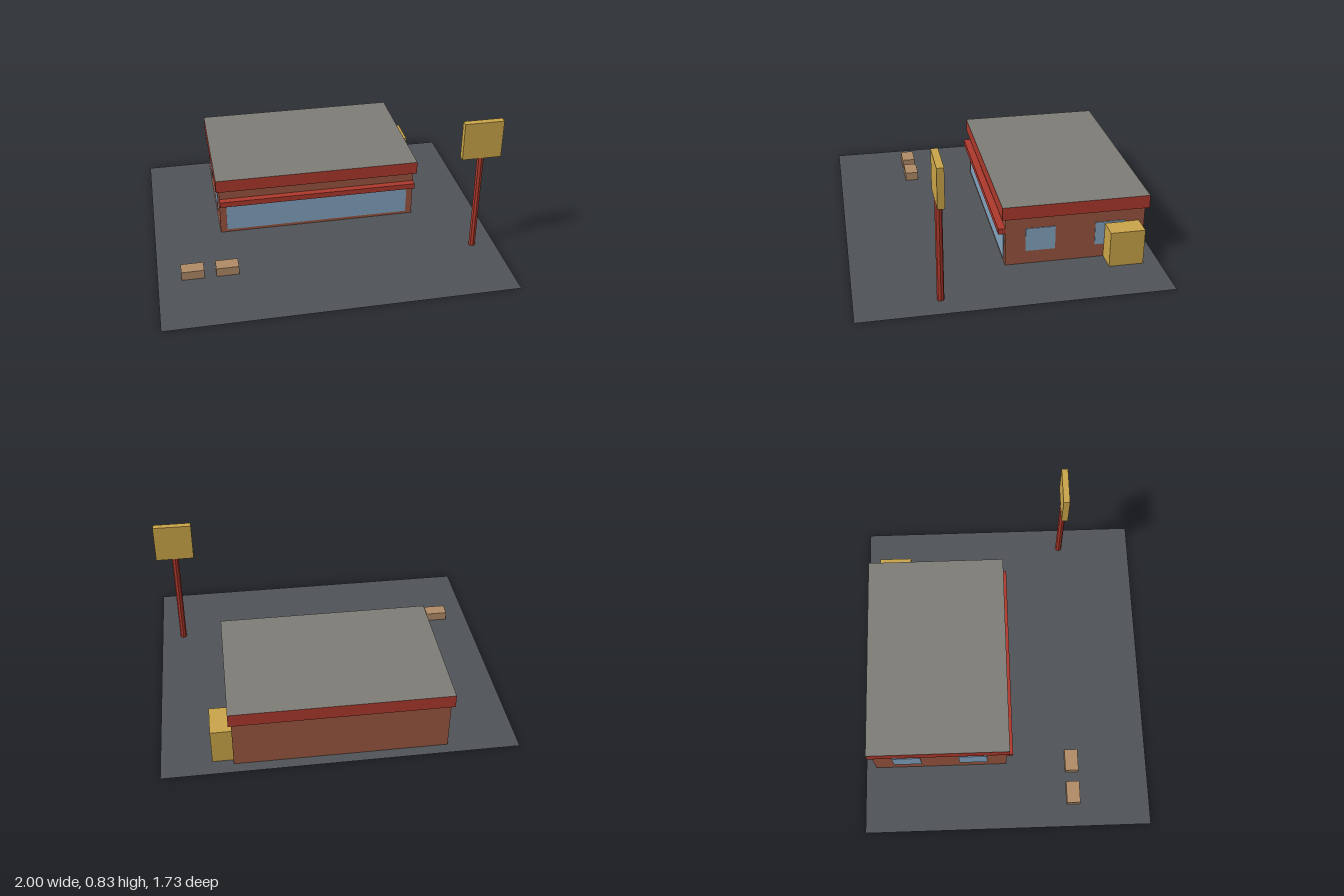
import * as THREE from 'three';

const mat = (name, color) => Object.assign(new THREE.MeshStandardMaterial({ color }), { name });

export function createModel() {
  const model = new THREE.Group();
  model.name = 'roadsideDiner';

  const asphalt = mat('asphalt', 0x4f5357);
  asphalt.side = THREE.DoubleSide;
  const brick = mat('brick', 0x98553f);
  const red = mat('redTrim', 0xab382b);
  const roofGrey = mat('roofGrey', 0x7d7b76);
  const glass = mat('glass', 0x82a3bf);
  const yellow = mat('yellow', 0xc8a348);
  const tan = mat('tan', 0xae8a66);

  // Box given by its extents on each axis
  const box = (name, [x0, x1], [y0, y1], [z0, z1], material) => {
    const mesh = new THREE.Mesh(new THREE.BoxGeometry(x1 - x0, y1 - y0, z1 - z0), material);
    mesh.position.set((x0 + x1) / 2, (y0 + y1) / 2, (z0 + z1) / 2);
    mesh.name = name;
    model.add(mesh);
    return mesh;
  };

  // Parking lot
  const lot = new THREE.Mesh(new THREE.PlaneGeometry(2, 1.725), asphalt);
  lot.rotation.x = -Math.PI / 2;
  lot.name = 'parkingLot';
  model.add(lot);

  // Building: walls, fascia with grey roof deck, awning over the front window
  const base = 0.001;
  box('walls', [-0.6, 0.6], [base, 0.3], [-0.8, 0], brick);
  box('roof', [-0.617, 0.617], [0.297, 0.375], [-0.82, 0.02], [red, red, roofGrey, red, red, red]);
  box('awning', [-0.6, 0.6], [0.203, 0.237], [0, 0.04], red);

  // Windows
  box('frontWindow', [-0.56, 0.56], [0.02, 0.197], [-0.002, 0.004], glass);
  for (const side of [-1, 1]) {
    for (const z of [-0.2, -0.6]) {
      box('sideWindow', [side * 0.601 - 0.003, side * 0.601 + 0.003], [0.083, 0.225], [z - 0.085, z + 0.085], glass);
    }
  }

  // Service box against the left wall
  box('serviceBox', [0.6, 0.717], [base, 0.214], [-0.768, -0.57], yellow);

  // Roadside sign
  const pole = new THREE.Mesh(new THREE.CylinderGeometry(0.02, 0.02, 0.603, 8).toNonIndexed(), red);
  pole.geometry.computeVertexNormals();
  pole.position.set(0.865, 0.3025, 0.4);
  pole.name = 'signPole';
  model.add(pole);
  box('signBoard', [0.752, 0.979], [0.603, 0.829], [0.381, 0.419], yellow);

  // Low blocks in the lot
  for (const x of [-0.8, -0.602]) {
    box('parkingBlock', [x - 0.065, x + 0.065], [base, 0.054], [0.36, 0.44], tan);
  }

  return model;
}
